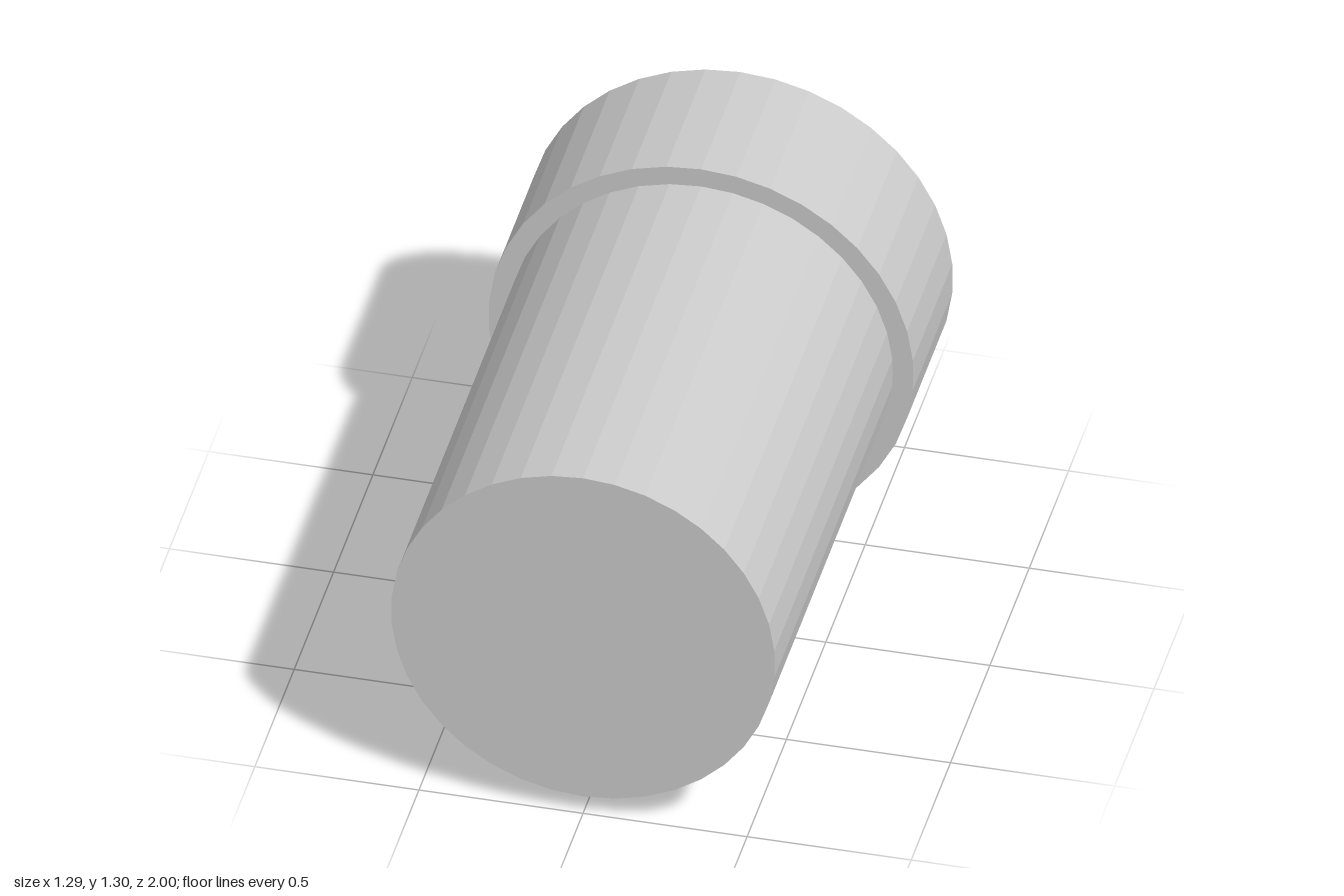
import * as THREE from 'three';

const SIDES = 38;
const COLLAR_R = 0.648;
const BODY_R = 0.585;

// Revolve [radius, z] pairs (listed back to front) around the z axis
function revolve(name, profile, material) {
  const points = profile.map(([r, z]) => new THREE.Vector2(r, z));
  const geometry = new THREE.LatheGeometry(points, SIDES);
  geometry.rotateX(Math.PI / 2);
  const mesh = new THREE.Mesh(geometry, material);
  mesh.name = name;
  mesh.position.y = COLLAR_R;
  return mesh;
}

export function createModel() {
  const group = new THREE.Group();
  group.name = 'collaredCylinder';
  const material = new THREE.MeshStandardMaterial({ color: 0xcccccc, flatShading: true });

  // Wide collar with a shallow bevelled recess in its back face
  group.add(revolve('collar', [
    [0, -0.98], [0.625, -0.98], [COLLAR_R, -1], [COLLAR_R, -0.5], [BODY_R, -0.5],
  ], material));

  // Long body closed by a flat front cap
  group.add(revolve('body', [[BODY_R, -0.5], [BODY_R, 1], [0, 1]], material));

  return group;
}
